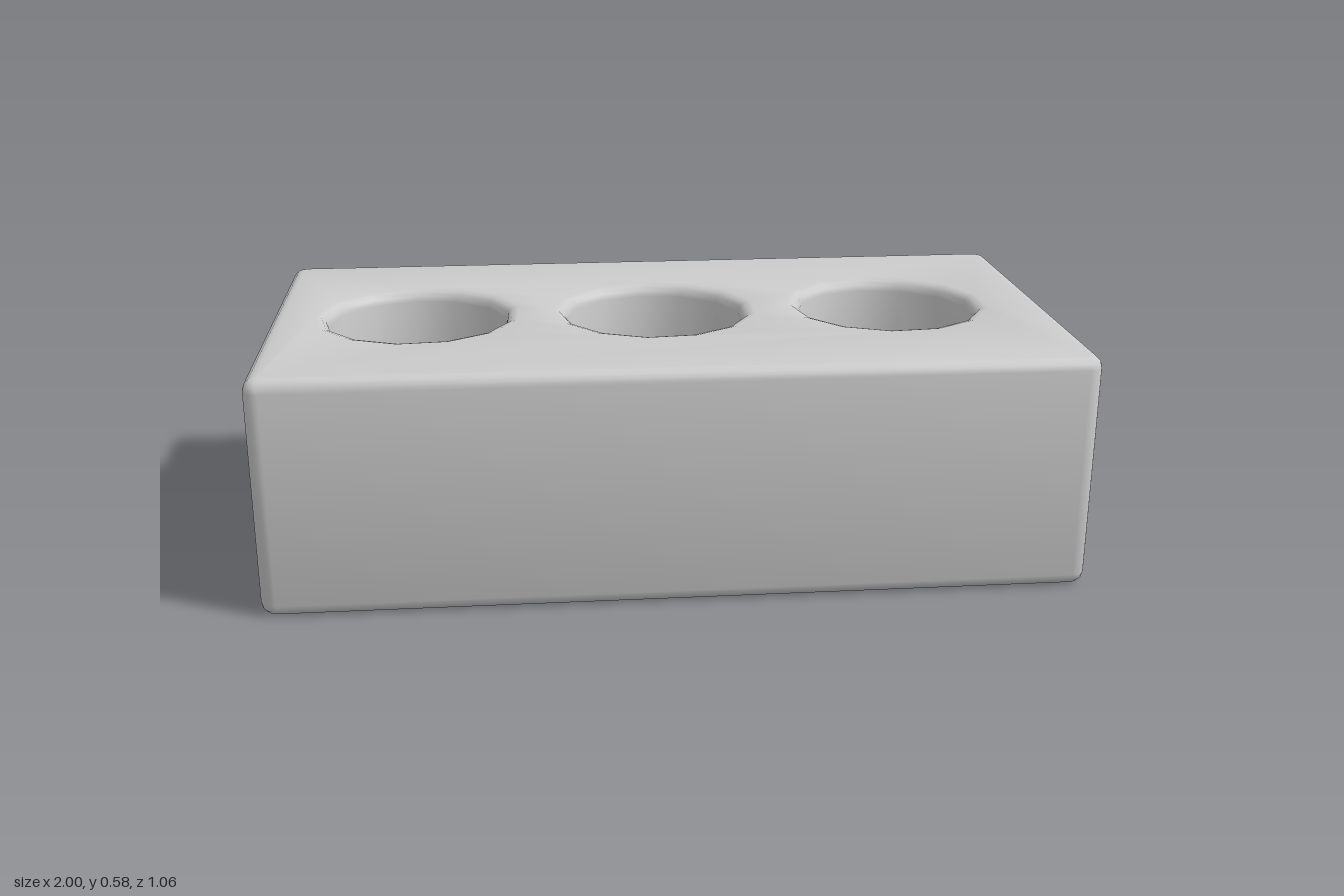
import * as THREE from 'three';
import { toCreasedNormals } from 'three/addons/utils/BufferGeometryUtils.js';

const HALF_X = 1, HALF_Z = 0.53, HEIGHT = 0.585;
const BEVEL = 0.03, CORNER = 0.01;
const HOLE_RADIUS = 0.232, HOLE_SIDES = 13;

// Rectangle with slightly softened corners
function roundedRect(hx, hy, r) {
  const shape = new THREE.Shape();
  shape.absarc(hx - r, hy - r, r, 0, Math.PI / 2);
  shape.absarc(-hx + r, hy - r, r, Math.PI / 2, Math.PI);
  shape.absarc(-hx + r, -hy + r, r, Math.PI, Math.PI * 1.5);
  shape.absarc(hx - r, -hy + r, r, Math.PI * 1.5, Math.PI * 2);
  shape.closePath();
  return shape;
}

// Low-sided round hole, widened so the bevel closes it to its final radius
function holePath(cx) {
  const points = [];
  for (let i = 0; i < HOLE_SIDES; i++) {
    const a = THREE.MathUtils.degToRad(95) - (i / HOLE_SIDES) * Math.PI * 2;
    const r = HOLE_RADIUS + BEVEL;
    points.push(new THREE.Vector2(cx + r * Math.cos(a), r * Math.sin(a)));
  }
  return new THREE.Path(points);
}

export function createModel() {
  const group = new THREE.Group();
  group.name = 'brick';

  // Block with three holes running from top to bottom
  const outline = roundedRect(HALF_X - BEVEL, HALF_Z - BEVEL, CORNER);
  for (const x of [-0.627, -0.02, 0.588]) outline.holes.push(holePath(x));

  let geometry = new THREE.ExtrudeGeometry(outline, {
    depth: HEIGHT - 2 * BEVEL,
    bevelThickness: BEVEL,
    bevelSize: BEVEL,
    bevelSegments: 3,
    curveSegments: 3,
  });
  geometry.rotateX(-Math.PI / 2);
  geometry.translate(0, BEVEL, 0);
  geometry = toCreasedNormals(geometry, 0.9);

  const block = new THREE.Mesh(geometry, new THREE.MeshStandardMaterial({ color: 0xcccccc }));
  block.name = 'brickBlock';
  group.add(block);
  return group;
}
